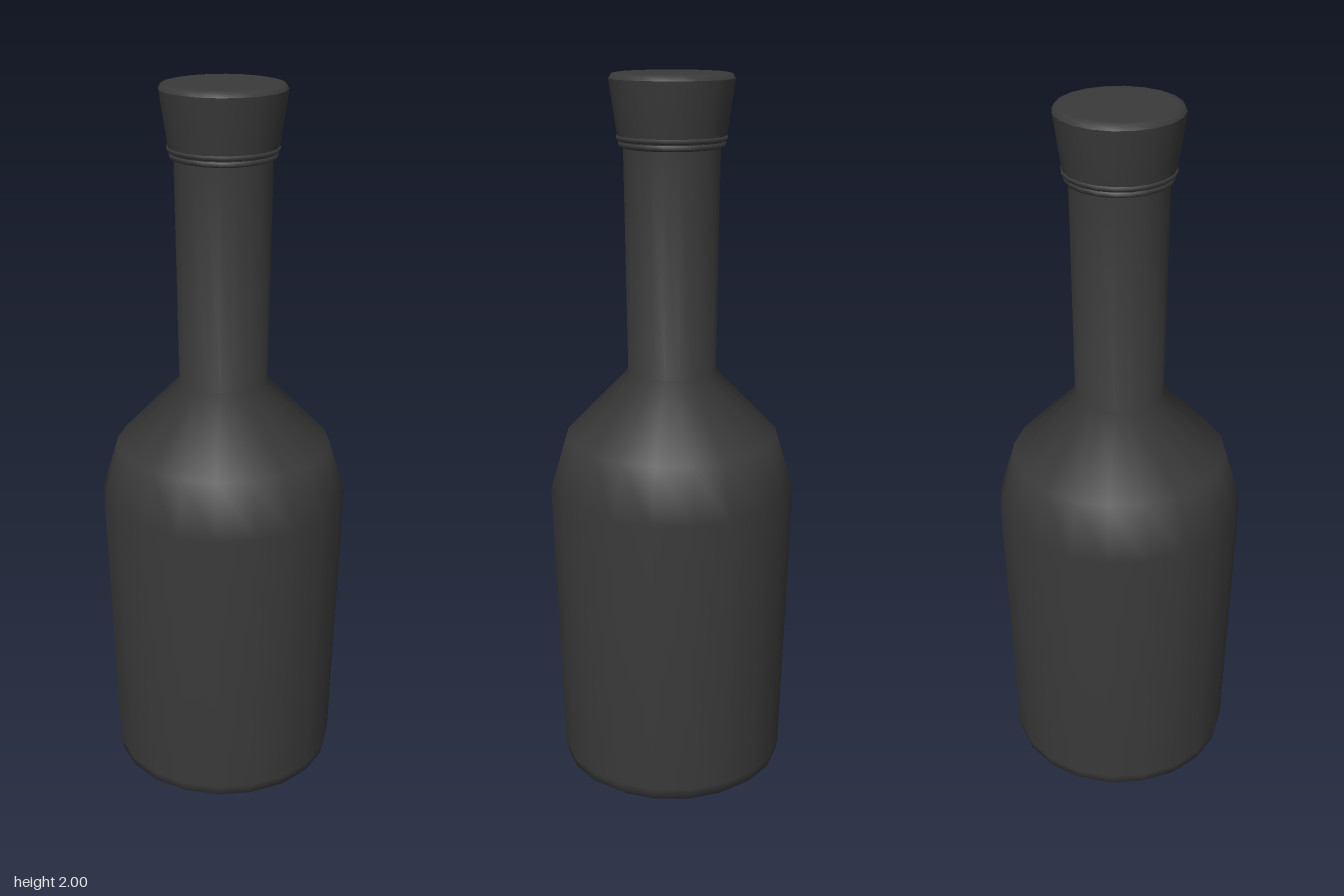
import * as THREE from 'three';

const SIDES = 20;
const material = new THREE.MeshStandardMaterial({ color: 0x3a3a3a });

// Turned part from [radius, height] pairs, listed bottom to top
function turned(name, profile) {
  const points = profile.map(([r, y]) => new THREE.Vector2(r, y));
  const mesh = new THREE.Mesh(new THREE.LatheGeometry(points, SIDES), material);
  mesh.name = name;
  return mesh;
}

export function createModel() {
  const group = new THREE.Group();
  group.name = 'bottle';

  // Rounded base, slightly flared body, shoulder and neck
  group.add(turned('bottleBody', [
    [0, 0], [0.2, 0.004], [0.29, 0.022], [0.313, 0.04], [0.319, 0.07],
    [0.343, 0.87], [0.298, 1.02], [0.122, 1.205], [0.13, 1.81],
  ]));

  // Thin stepped collar around the mouth
  group.add(turned('lowerCollar', [
    [0.126, 1.808], [0.141, 1.812], [0.143, 1.824], [0.13, 1.828],
  ]));
  group.add(turned('upperCollar', [
    [0.13, 1.826], [0.147, 1.829], [0.148, 1.84], [0.13, 1.845],
  ]));

  // Tapered stopper, wider at the top
  group.add(turned('stopperSide', [[0.138, 1.82], [0.145, 1.84], [0.167, 1.985]]));
  group.add(turned('stopperTop', [[0.167, 1.985], [0.16, 1.997], [0.145, 2], [0, 2]]));

  return group;
}
